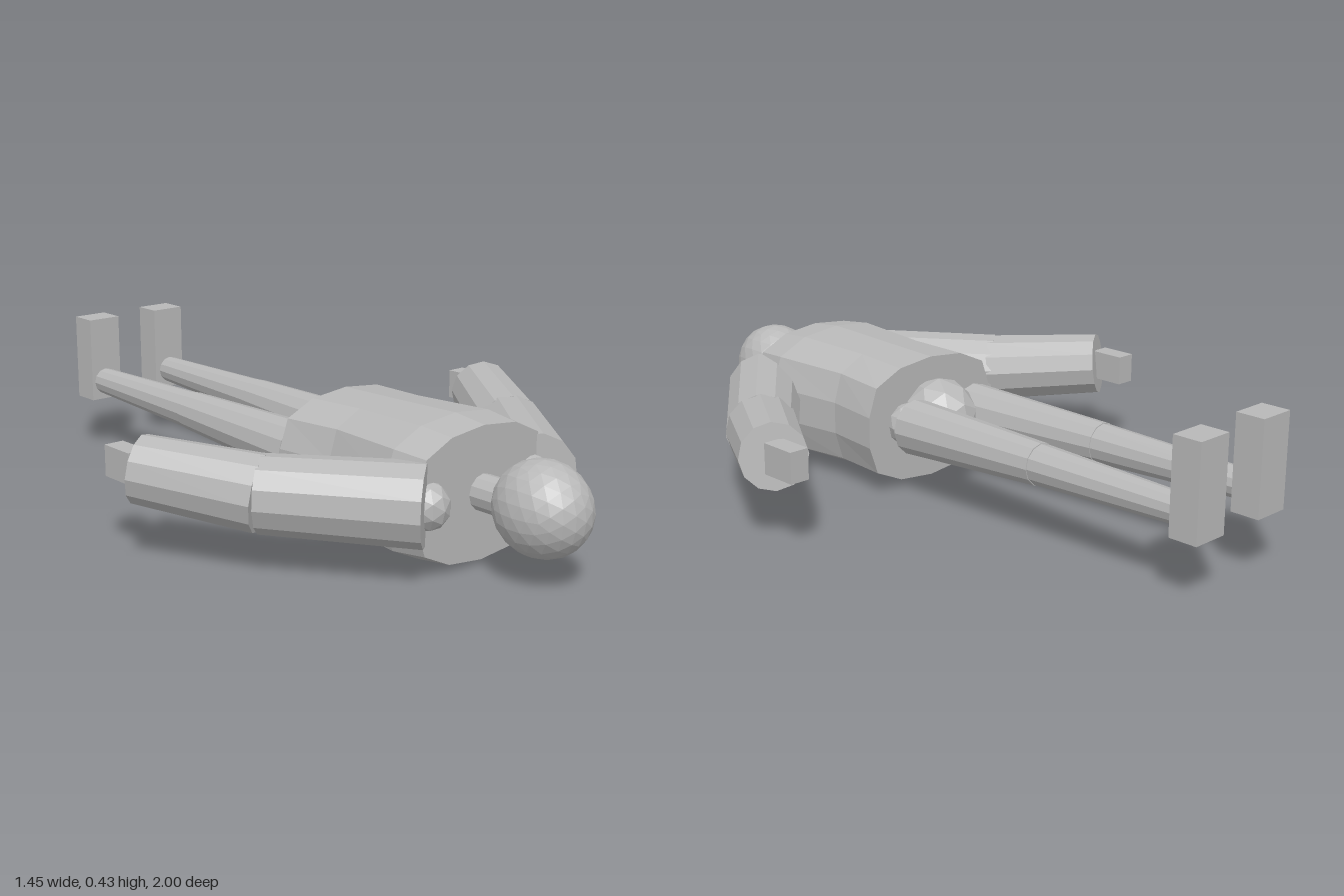
import * as THREE from 'three';

const grey = new THREE.MeshStandardMaterial({ color: 0xb8b8b8, flatShading: true });
grey.name = 'plain grey';

export function createModel() {
  const model = new THREE.Group();
  model.name = 'lyingMannequin';

  const add = (name, geometry, x = 0, y = 0, z = 0) => {
    const mesh = new THREE.Mesh(geometry, grey);
    mesh.name = name;
    mesh.position.set(x, y, z);
    model.add(mesh);
    return mesh;
  };

  // Faceted ball stretched to three radii
  const ball = (name, detail, [x, y, z], [rx, ry, rz]) =>
    add(name, new THREE.IcosahedronGeometry(1, detail).scale(rx, ry, rz), x, y, z);

  // Tapered round segment from point a to point b
  const limb = (name, a, b, ra, rb) => {
    const from = new THREE.Vector3(...a), to = new THREE.Vector3(...b);
    const axis = to.clone().sub(from);
    const mesh = add(name, new THREE.CylinderGeometry(rb, ra, axis.length(), 12));
    mesh.position.copy(from).add(to).multiplyScalar(0.5);
    mesh.quaternion.setFromUnitVectors(new THREE.Vector3(0, 1, 0), axis.normalize());
  };

  // Torso: rounded, boxy cross-section swept through four sections
  const half = [[0, 1], [0.5, 0.93], [0.88, 0.7], [1, 0.25], [1, -0.25], [0.88, -0.7], [0.5, -0.93]];
  const ring = [...half, ...half.map(([x, y]) => [-x, -y])];
  const sections = [[0.655, 0.235, 0.183], [0.55, 0.25, 0.195], [0.3, 0.218, 0.187], [0.12, 0.24, 0.182]];
  const torso = new THREE.CylinderGeometry(1, 1, 3, ring.length, 3);
  const p = torso.attributes.position;
  for (let i = 0; i < p.count; i++) {
    const x = p.getX(i), z = p.getZ(i);
    const [along, rx, ry] = sections[Math.round(1.5 - p.getY(i))];
    const turn = Math.atan2(x, z) / (2 * Math.PI) + 1;
    const [u, v] = ring[Math.round(turn * ring.length) % ring.length];
    const onRim = Math.hypot(x, z) > 0.5 ? 1 : 0;
    p.setXYZ(i, u * rx * onRim, along, v * ry * onRim);
  }
  torso.rotateX(Math.PI / 2);
  torso.computeVertexNormals();
  add('torso', torso, 0, 0.197, 0);

  // Head, neck and pelvis
  ball('head', 3, [0, 0.206, 0.86], [0.116, 0.128, 0.14]);
  limb('neck', [0, 0.2, 0.62], [0, 0.2, 0.78], 0.05, 0.05);
  ball('pelvis', 1, [0, 0.2, 0.085], [0.115, 0.12, 0.125]);

  // Paired parts
  for (const [side, s] of [['left', 1], ['right', -1]]) {
    ball(side + 'Shoulder', 1, [s * 0.19, 0.2, 0.64], [0.06, 0.068, 0.067]);
    limb(side + 'UpperArm', [s * 0.205, 0.208, 0.655], [s * 0.468, 0.212, 0.32], 0.113, 0.105);
    limb(side + 'Forearm', [s * 0.465, 0.212, 0.322], [s * 0.645, 0.248, 0.035], 0.105, 0.094);
    add(side + 'Hand', new THREE.BoxGeometry(0.058, 0.087, 0.11), s * 0.648, 0.251, -0.023);

    ball(side + 'Hip', 1, [s * 0.105, 0.2, 0.1], [0.065, 0.065, 0.065]);
    limb(side + 'Thigh', [s * 0.117, 0.204, 0.06], [s * 0.124, 0.219, -0.44], 0.081, 0.059);
    limb(side + 'Shin', [s * 0.124, 0.219, -0.44], [s * 0.128, 0.225, -0.92], 0.057, 0.041);
    add(side + 'Foot', new THREE.BoxGeometry(0.108, 0.265, 0.085), s * 0.125, 0.299, -0.957);
  }
  return model;
}
